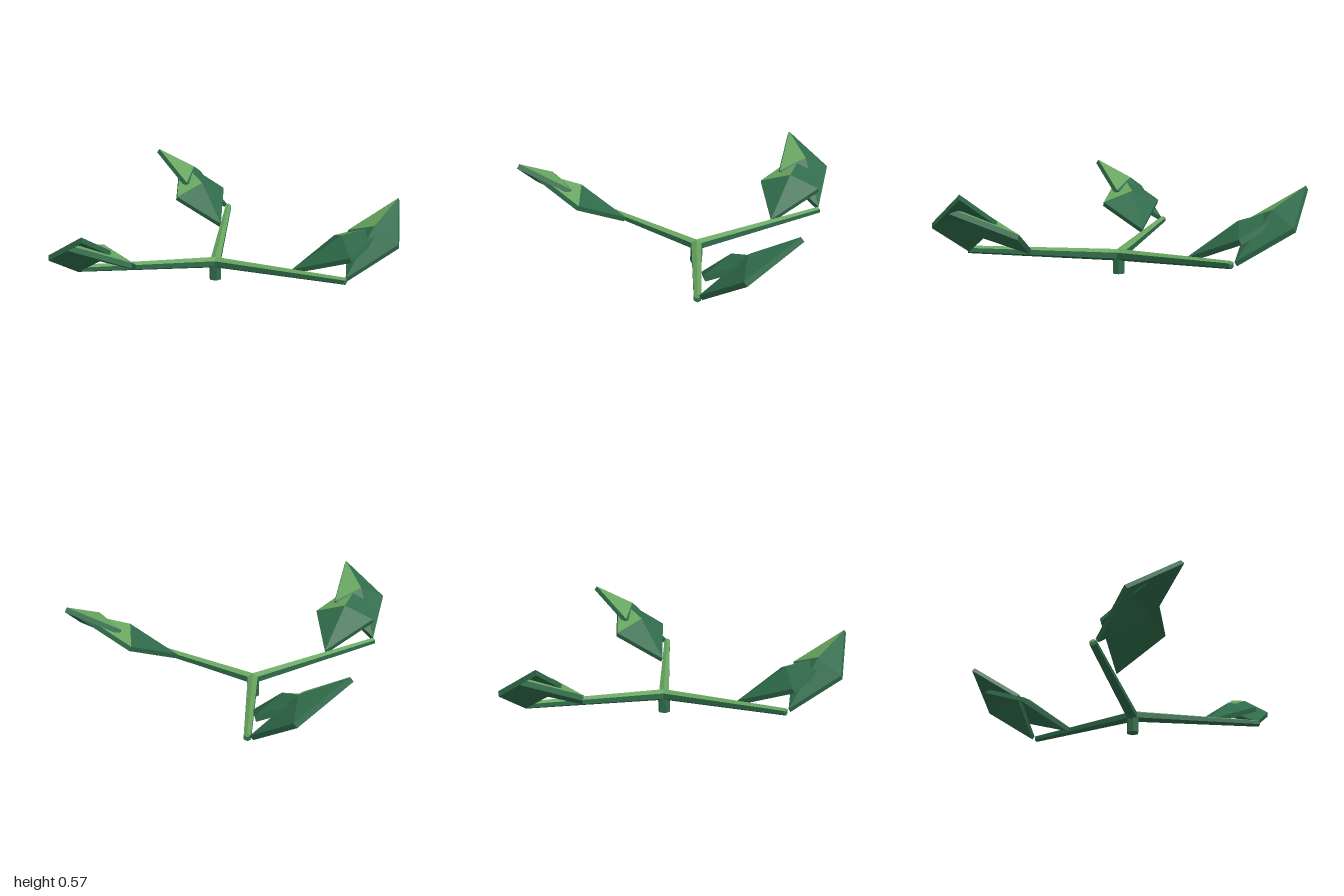
import * as THREE from 'three';

const darkGreen = new THREE.MeshStandardMaterial({ color: 0x2f6b4a, flatShading: true });
darkGreen.name = 'dark green';
const lightGreen = new THREE.MeshStandardMaterial({ color: 0x68a55f, flatShading: true });
lightGreen.name = 'light green';

const HUB = new THREE.Vector3(0.025, 0.11, -0.165);

// Four-cornered blade with a raised centre and a constant thickness.
// Corners run anticlockwise from above; the facet on the last edge is light.
function bladeGeometry(corners, peak, thickness) {
  const top = [...corners, peak].map(p => new THREE.Vector3(...p));
  const across = top[2].clone().sub(top[0]);
  const drop = across.cross(top[3].clone().sub(top[1])).normalize().multiplyScalar(-thickness);
  const points = [...top, ...top.map(p => p.clone().add(drop))];
  const index = [];
  for (let i = 0; i < 4; i++) {
    const j = (i + 1) % 4;
    index.push(9, j + 5, i + 5);                       // underside
    index.push(i, i + 5, j + 5, i, j + 5, j);          // rim
  }
  for (let i = 0; i < 4; i++) index.push(4, i, (i + 1) % 4); // top
  const geometry = new THREE.BufferGeometry().setFromPoints(points);
  geometry.setIndex(index);
  geometry.addGroup(0, index.length - 3, 0);
  geometry.addGroup(index.length - 3, 3, 1);
  const flat = geometry.toNonIndexed();
  flat.computeVertexNormals();
  return flat;
}

// Coordinates start at the leaf's foot on the branch
const lowerBlade = bladeGeometry(
  [[0.02, 0.32, -0.33], [0, 0.175, 0], [0.34, 0.32, -0.11], [0.36, 0.48, -0.45]],
  [0.18, 0.39, -0.21], 0.03);
const upperBlade = bladeGeometry(
  [[0.14, 0.39, -0.31], [0.34, 0.205, -0.085], [0.48, 0.385, -0.35], [0.28, 0.57, -0.58]],
  [0.32, 0.46, -0.33], 0.03);

function makeLeaf(x, z, degrees) {
  const leaf = new THREE.Group();
  leaf.name = 'leaf';
  [['lowerBlade', lowerBlade], ['upperBlade', upperBlade]].forEach(([name, geometry]) => {
    const mesh = new THREE.Mesh(geometry, [darkGreen, lightGreen]);
    mesh.name = name;
    leaf.add(mesh);
  });
  leaf.position.set(x, 0, z);
  leaf.rotation.y = THREE.MathUtils.degToRad(degrees);
  return leaf;
}

// Tapered six-sided branch whose two upper faces are light
function makeBranch(tip) {
  const branch = new THREE.Group();
  branch.name = 'branch';
  const length = HUB.distanceTo(tip);
  const third = Math.PI * 2 / 3;
  [['branchTop', lightGreen, 2, third, third],
   ['branchUnderside', darkGreen, 4, third * 2, third * 2]].forEach(([name, material, sides, start, sweep]) => {
    const geometry = new THREE.CylinderGeometry(0.022, 0.035, length, sides, 1, false, start, sweep);
    geometry.rotateX(Math.PI / 2).translate(0, 0, length / 2);
    const mesh = new THREE.Mesh(geometry, material);
    mesh.name = name;
    branch.add(mesh);
  });
  branch.position.copy(HUB);
  branch.lookAt(tip);
  return branch;
}

export function createModel() {
  const model = new THREE.Group();
  model.name = 'plant';

  // Short stem under the fork
  const stem = new THREE.Mesh(new THREE.CylinderGeometry(0.038, 0.038, 0.11, 6), darkGreen);
  stem.name = 'stem';
  stem.position.set(HUB.x, 0.055, HUB.z);
  model.add(stem);

  // Three branches: tip x, z, leaf foot x, z, leaf turn
  [[0.865, -0.42, 0.52, -0.34, 0],
   [-0.58, -0.80, -0.36, -0.54, 118.4],
   [-0.25, 0.655, -0.11, 0.34, -125.2]].forEach(([tx, tz, lx, lz, turn]) => {
    model.add(makeBranch(new THREE.Vector3(tx, 0.19, tz)), makeLeaf(lx, lz, turn));
  });
  return model;
}
